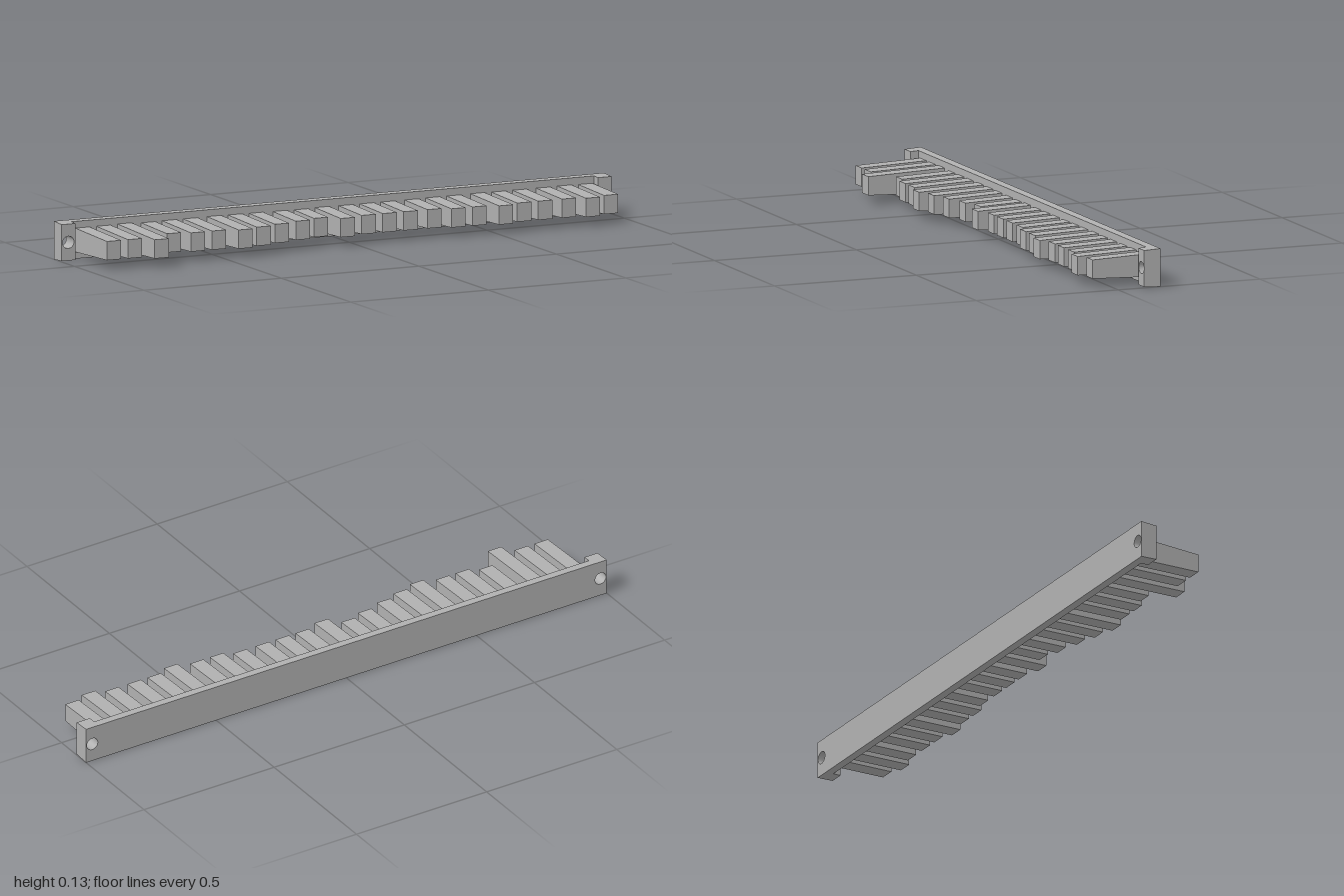
import * as THREE from 'three';

const MID = 0.063;          // height of the centre line
const BACK = -0.149, PLATE_FRONT = -0.12, END_FRONT = -0.092;
const HOLE_X = 0.976, HOLE_R = 0.021, END_W = 0.05;

const grey = new THREE.MeshStandardMaterial({ color: 0xb0b0b0 });
grey.name = 'grey plastic';

// Draft: scale y about the centre line as a function of z
function draft(geometry, scaleAt) {
  const p = geometry.attributes.position;
  for (let i = 0; i < p.count; i++) p.setY(i, MID + p.getY(i) * scaleAt(p.getZ(i)));
  geometry.computeVertexNormals();
  return geometry;
}

// Rectangular slab with screw holes, extruded from z0 to z1
function slab(name, x0, x1, z0, z1, holes) {
  const h = 0.063;
  const shape = new THREE.Shape([
    new THREE.Vector2(x0, -h), new THREE.Vector2(x1, -h),
    new THREE.Vector2(x1, h), new THREE.Vector2(x0, h),
  ]);
  for (const x of holes) {
    shape.holes.push(new THREE.Path().absarc(x, 0, HOLE_R, 0, Math.PI * 2, true));
  }
  const g = new THREE.ExtrudeGeometry(shape, { depth: z1 - z0, bevelEnabled: false, curveSegments: 16 });
  g.translate(0, 0, z0);
  draft(g, (z) => 1 - (0.05 * (z - BACK)) / h);
  const mesh = new THREE.Mesh(g, grey);
  mesh.name = name;
  return mesh;
}

// Tapered bar: every tip has the same height, longer bars have taller roots
function bar(x, tip) {
  const len = tip - PLATE_FRONT, h = 0.031;
  const g = new THREE.BoxGeometry(0.0515, h * 2, len).toNonIndexed();
  g.translate(x, 0, PLATE_FRONT + len / 2);
  draft(g, (z) => 1 + (0.036 * (tip - z)) / h);
  return new THREE.Mesh(g, grey);
}

export function createModel() {
  const model = new THREE.Group();
  model.name = 'toothedRail';

  // Back plate and the two raised mounting ends
  model.add(slab('backPlate', -1, 1, BACK, PLATE_FRONT, [-HOLE_X, HOLE_X]));
  model.add(slab('rightMount', -1, -1 + END_W, PLATE_FRONT, END_FRONT, [-HOLE_X]));
  model.add(slab('leftMount', 1 - END_W, 1, PLATE_FRONT, END_FRONT, [HOLE_X]));

  // Bars in eight groups of three; each digit is a length step
  const steps = [4, 4, 6, 2, 3, 3, 4, 3, 2, 1, 0, 2, 1, 1, 1, 1, 2, 2, 3, 2, 2, 2, 3, 2];
  const bars = new THREE.Group();
  bars.name = 'bars';
  steps.forEach((step, i) => {
    const x = -0.834 + Math.floor(i / 3) * 0.2394 + ((i % 3) - 1) * 0.0765;
    const mesh = bar(x, 0.0245 + step * 0.02075);
    mesh.name = `bar${i + 1}`;
    bars.add(mesh);
  });
  model.add(bars);
  return model;
}
